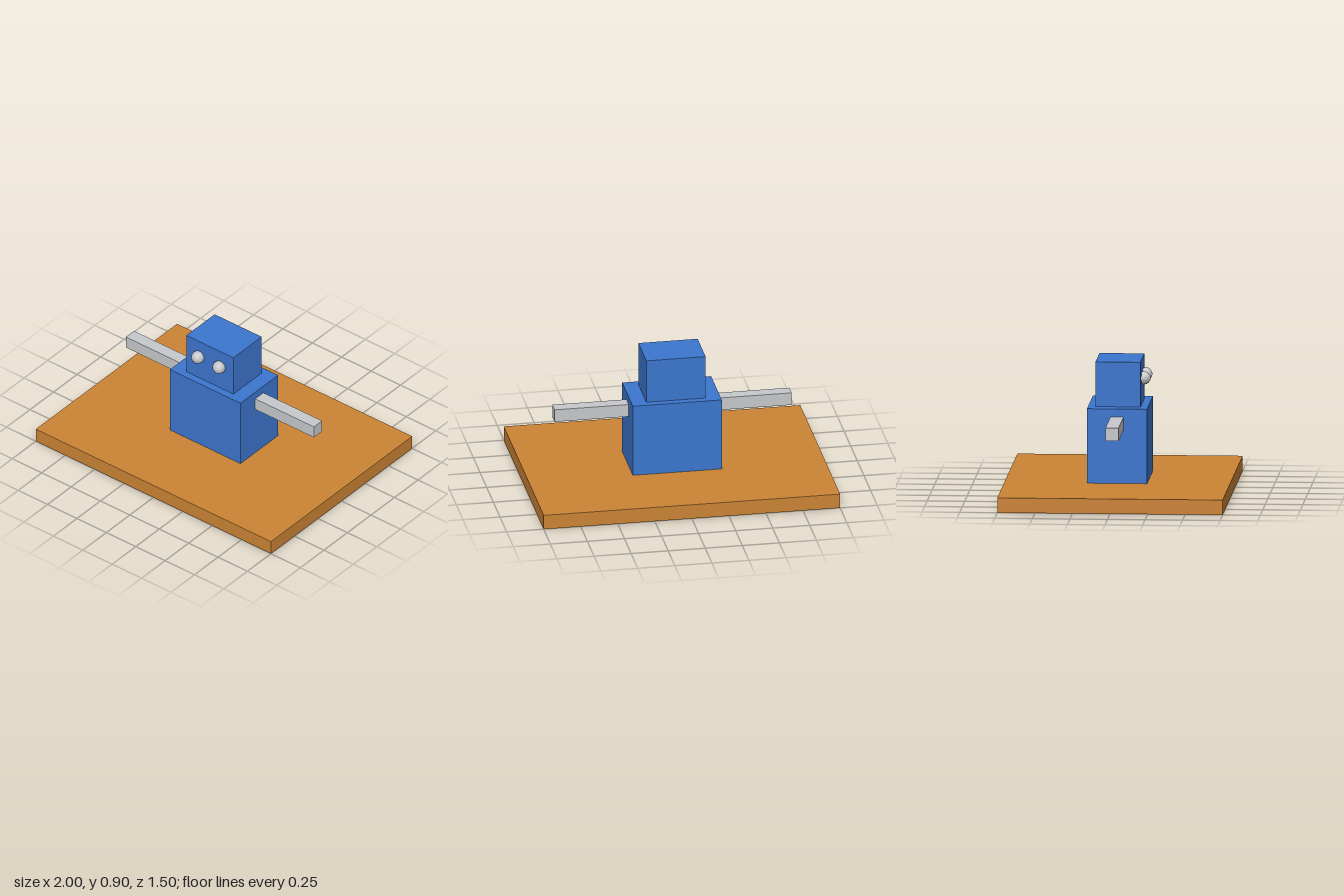
import * as THREE from 'three';

const mat = (name, color) => {
  const m = new THREE.MeshStandardMaterial({ color });
  m.name = name;
  return m;
};

export function createModel() {
  const wood = mat('orange wood', 0xcb8335);
  const blue = mat('blue', 0x3c76ce);
  const grey = mat('light grey', 0xc7c8cb);
  const model = new THREE.Group();
  model.name = 'robot on board';

  const add = (name, geometry, material, x, y, z) => {
    const mesh = new THREE.Mesh(geometry, material);
    mesh.name = name;
    mesh.position.set(x, y, z);
    model.add(mesh);
    return mesh;
  };
  const box = (w, h, d) => new THREE.BoxGeometry(w, h, d);

  // Board and stacked block body
  add('base', box(2, 0.1, 1.5), wood, 0, 0.05, 0);
  add('body', box(0.6, 0.5, 0.4), blue, 0, 0.35, 0);
  add('head', box(0.4, 0.3, 0.3), blue, 0, 0.75, 0);

  // Square arms and round eyes, mirrored
  for (const [side, s] of [['left', 1], ['right', -1]]) {
    add(side + 'Arm', box(0.5, 0.087, 0.087), grey, s * 0.55, 0.502, 0);
    const eye = add(side + 'Eye', new THREE.SphereGeometry(0.045, 12, 8), grey, s * 0.09, 0.78, 0.165);
    eye.rotation.x = Math.PI / 2; // pole faces forward
  }
  return model;
}
